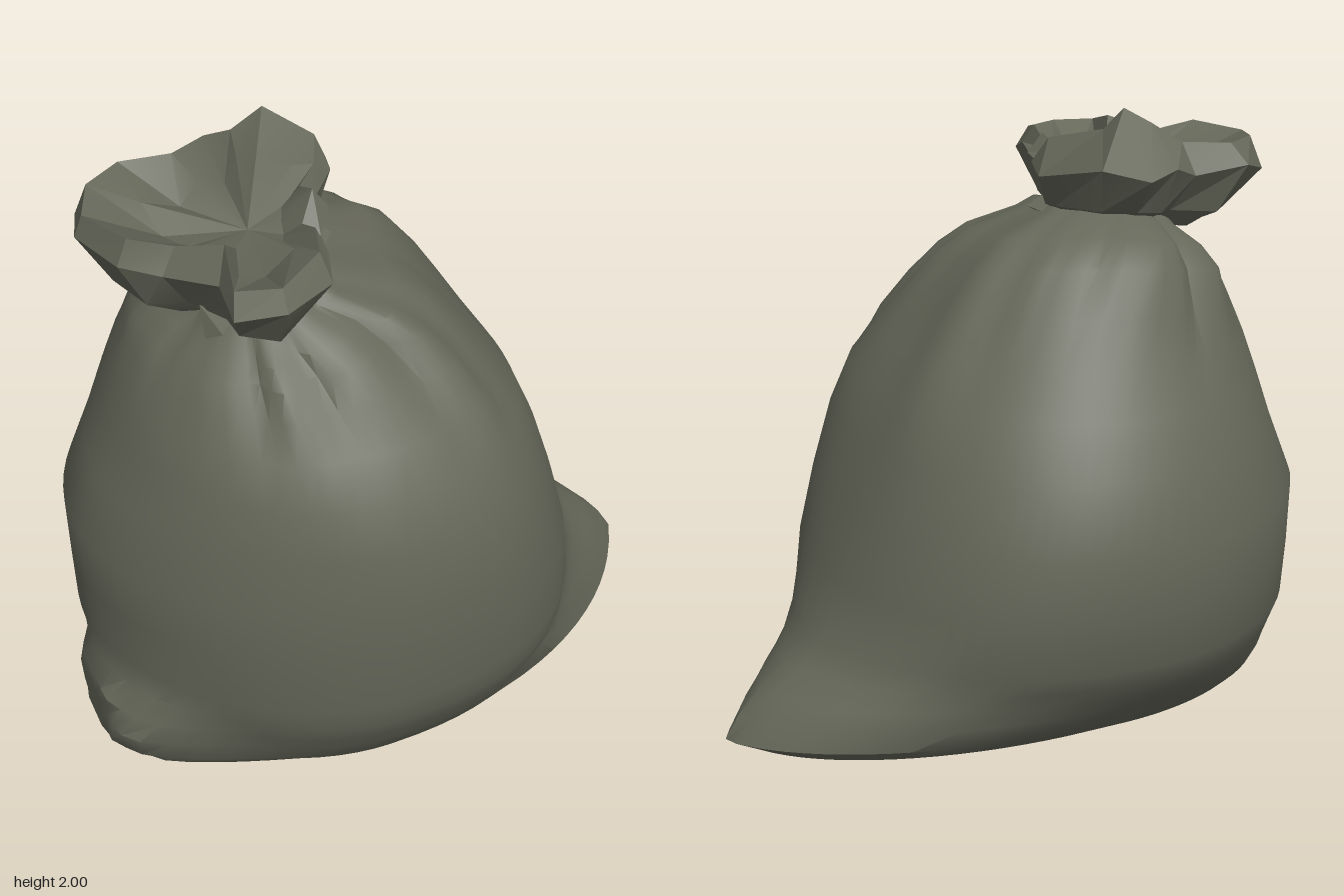
import * as THREE from 'three';
import { toCreasedNormals } from 'three/addons/utils/BufferGeometryUtils.js';

const SEGMENTS = 72;
const clamp01 = (v) => Math.min(1, Math.max(0, v));
const peak = (v, width) => Math.max(0, 1 - Math.abs(v) / width);
const signedPow = (v, p) => Math.sign(v) * Math.abs(v) ** p;

// Skin a stack of closed rings, closing each end that is given a centre point.
function loft(rings, crease, startCentre, endCentre) {
  const n = rings[0].length;
  const positions = rings.flat(2);
  const index = [];
  for (let r = 0; r < rings.length - 1; r++) {
    for (let i = 0; i < n; i++) {
      const j = (i + 1) % n;
      const a = r * n + i, b = r * n + j;
      index.push(a, a + n, b, b, a + n, b + n);
    }
  }
  const cap = (centre, first, flip) => {
    const c = positions.length / 3;
    positions.push(...centre);
    for (let i = 0; i < n; i++) {
      const a = first + i, b = first + (i + 1) % n;
      index.push(...(flip ? [c, a, b] : [c, b, a]));
    }
  };
  if (startCentre) cap(startCentre, 0, true);
  if (endCentre) cap(endCentre, (rings.length - 1) * n, false);
  const geometry = new THREE.BufferGeometry();
  geometry.setAttribute('position', new THREE.Float32BufferAttribute(positions, 3));
  geometry.setIndex(index);
  return toCreasedNormals(geometry, crease);
}

// Sack levels: y, left-most x, right-most x, back z, front z, centre x, pull of the +x corner
const LEVELS = [
  [0.00, -0.78, 0.58, -0.42, 0.47, -0.15, 0.22],
  [0.03, -0.85, 0.61, -0.51, 0.54, -0.15, 0.28],
  [0.08, -0.89, 0.63, -0.56, 0.59, -0.15, 0.35],
  [0.17, -0.91, 0.64, -0.62, 0.64, -0.15, 0.29],
  [0.25, -0.91, 0.65, -0.67, 0.69, -0.15, 0.21],
  [0.33, -0.92, 0.65, -0.71, 0.73, -0.15, 0.12],
  [0.42, -0.945, 0.65, -0.74, 0.75, -0.14, 0.04],
  [0.62, -0.95, 0.62, -0.77, 0.77, -0.13, 0],
  [0.82, -0.955, 0.56, -0.78, 0.78, -0.13, 0],
  [1.02, -0.88, 0.49, -0.72, 0.76, -0.14, 0],
  [1.18, -0.81, 0.42, -0.64, 0.71, -0.17, 0],
  [1.30, -0.77, 0.33, -0.57, 0.63, -0.20, 0],
  [1.42, -0.72, 0.24, -0.50, 0.54, -0.25, 0],
  [1.52, -0.68, 0.14, -0.44, 0.47, -0.29, 0],
  [1.58, -0.62, 0.04, -0.36, 0.41, -0.33, 0],
  [1.63, -0.56, -0.13, -0.24, 0.33, -0.36, 0],
  [1.67, -0.54, -0.19, -0.16, 0.28, -0.37, 0],
];

// Gathered folds: angle in degrees, lower end y, depth, half width in degrees
const PLEATS = [
  [52, 1.20, 0.05, 11], [66, 1.38, -0.03, 8], [82, 1.45, 0.02, 6],
  [97, 1.22, -0.035, 7], [110, 1.34, 0.02, 8], [122, 1.30, -0.03, 7],
  [142, 1.30, 0.015, 9], [165, 1.40, -0.025, 8], [190, 1.36, 0.015, 9],
  [215, 1.40, -0.03, 8], [232, 1.35, 0.02, 8], [250, 1.30, -0.035, 8],
  [272, 1.38, 0.015, 9], [295, 1.42, -0.025, 9], [320, 1.36, 0.015, 10],
  [342, 1.12, 0.045, 15], [8, 1.30, -0.02, 9], [28, 1.36, 0.015, 8],
];

function sackRing([y, x0, x1, z0, z1, cx, pull]) {
  const ring = [];
  const cz = (z0 + z1) / 2;
  for (let i = 0; i < SEGMENTS; i++) {
    const deg = (i / SEGMENTS) * 360;
    const a = THREE.MathUtils.degToRad(deg);
    // oval that is fuller on the +x side and leaner on the -x side
    const fuller = Math.sin(a) > 0 ? 0.85 : 0.92;
    const leaner = y < 1.1 ? 1.08 : 0.98;
    const power = Math.cos(a) > 0 ? fuller : leaner;
    const c = signedPow(Math.cos(a), power);
    const s = signedPow(Math.sin(a), power);
    let x = cx + c * (c > 0 ? x1 - cx : cx - x0);
    let z = cz + s * (z1 - z0) / 2;
    // pleats running down from the tied neck
    for (const [at, low, depth, width] of PLEATS) {
      const d = ((deg - at + 540) % 360) - 180;
      const k = depth * peak(d, width) * clamp01((y - low) / 0.14) * (y > 1.6 ? 0.5 : 1);
      x += Math.cos(a) * k;
      z += Math.sin(a) * k;
    }
    // bottom corners pulled out into points
    if (c > 0) x += pull * peak(z, z < 0 ? 0.82 - 0.9 * y : 0.57 - 0.5 * y) ** 0.75;
    else if (y < 0.36) {
      x = Math.max(Math.min(x, -0.965), x - 0.15 * clamp01(2 * peak(z - 0.2, 0.3)) * clamp01((0.36 - y) / 0.16));
    }
    // sloping base and sloping neck
    const base = 0.14 * (0.46 - z) * clamp01(1 - y / 0.5);
    const neck = (0.2 * Math.min(x + 0.37, 0.2) - 0.12 * (z - 0.06)) * clamp01((y - 1.35) / 0.25);
    ring.push([x, y + base + neck, z]);
  }
  return ring;
}

// Collar outline: x, z, rim height, rim inset scale
const COLLAR = [
  [-0.85, -0.05, 1.88, 0.95], [-0.80, -0.20, 1.89, 0.92], [-0.68, -0.30, 1.89, 0.88],
  [-0.51, -0.27, 1.90, 0.85], [-0.42, -0.31, 1.96, 0.65], [-0.31, -0.34, 2.00, 0.44],
  [-0.18, -0.27, 1.97, 0.94], [-0.04, -0.13, 1.93, 0.85], [-0.07, -0.03, 1.89, 0.80],
  [-0.14, 0.03, 1.86, 0.75], [-0.15, 0.14, 1.90, 0.80], [-0.21, 0.22, 1.83, 0.75],
  [-0.24, 0.34, 1.89, 0.85], [-0.27, 0.44, 1.87, 0.85], [-0.45, 0.55, 1.86, 0.88],
  [-0.58, 0.48, 1.86, 0.93], [-0.57, 0.35, 1.90, 0.78], [-0.68, 0.20, 1.86, 0.85],
  [-0.79, 0.14, 1.89, 0.92],
];

function collarRings() {
  const cx = -0.37, cz = 0.06;
  const ring = (rule) => COLLAR.map(([x, z, rim, inset], i) => {
    const tilt = 0.18 * (x - cx) - 0.1 * (z - cz);
    const [scale, y] = rule(rim, inset, tilt, i % 2);
    return [cx + (x - cx) * scale, y, cz + (z - cz) * scale];
  });
  return [
    ring((rim, inset, tilt) => [0.54, 1.63 + tilt * 0.6]),
    ring((rim, inset, tilt, odd) => [odd ? 0.74 : 0.80, 1.68 + tilt * 0.4]),
    ring((rim, inset, tilt, odd) => [1, 1.83 + tilt * 0.25 - odd * 0.03]),
    ring((rim, inset) => [inset, rim]),
    ring((rim, inset, tilt, odd) => [inset * (odd ? 0.66 : 0.52), rim - (odd ? 0.05 : 0.1)]),
  ];
}

export function createModel() {
  const bag = new THREE.Group();
  bag.name = 'tiedSack';
  const plastic = new THREE.MeshStandardMaterial({ color: 0x66685a, side: THREE.DoubleSide });
  const add = (name, geometry) => {
    const mesh = new THREE.Mesh(geometry, plastic);
    mesh.name = name;
    bag.add(mesh);
  };

  // filled body with flat base
  add('sackBody', loft(LEVELS.map(sackRing), 0.6, [-0.12, 0.062, 0.02], null));

  // crumpled opening above the tie
  add('gatheredCollar', loft(collarRings(), 0.3, null, [-0.37, 1.77, 0.06]));

  // loose pinched tufts around the tie
  for (const [x, y, z, size] of [[-0.17, 1.71, 0.04, 0.05], [-0.56, 1.63, 0.22, 0.05]]) {
    const tuft = new THREE.ConeGeometry(size, size * 2, 5).toNonIndexed();
    tuft.rotateZ(0.5).translate(x, y, z);
    tuft.computeVertexNormals();
    add('pinchedTuft', tuft);
  }
  return bag;
}
